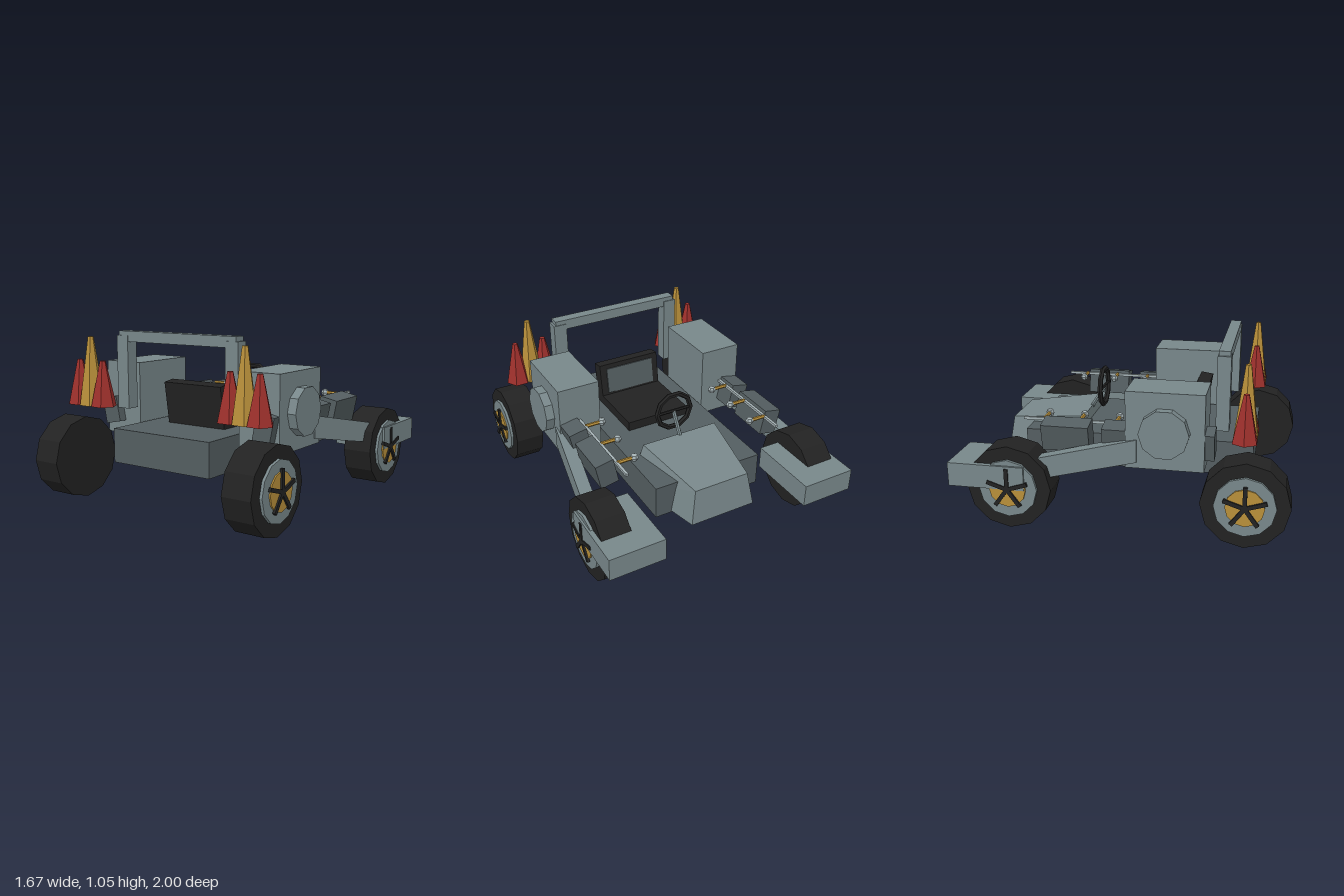
import * as THREE from 'three';

const mat = (name, color) => Object.assign(new THREE.MeshStandardMaterial({ color }), { name });

export function createModel() {
  const grey = mat('grey', 0x78878a), dark = mat('darkGrey', 0x545e61), black = mat('black', 0x222222);
  const gold = mat('gold', 0xb88f3a), red = mat('red', 0x9e302c), silver = mat('silver', 0xa3b0b3);
  const model = new THREE.Group();
  model.name = 'buggy';

  // Faceted mesh
  function add(parent, name, geo, material, x = 0, y = 0, z = 0) {
    const g = geo.index ? geo.toNonIndexed() : geo;
    g.computeVertexNormals();
    const m = new THREE.Mesh(g, material);
    m.name = name;
    m.position.set(x, y, z);
    parent.add(m);
    return m;
  }
  // Box given by its limits
  function box(parent, name, material, x0, x1, y0, y1, z0, z1) {
    return add(parent, name, new THREE.BoxGeometry(x1 - x0, y1 - y0, z1 - z0), material,
      (x0 + x1) / 2, (y0 + y1) / 2, (z0 + z1) / 2);
  }
  // Cylinder lying along x, from x0 to x1
  function axle(parent, name, material, r, sides, x0, x1, y, z) {
    return add(parent, name, new THREE.CylinderGeometry(r, r, x1 - x0, sides).rotateZ(Math.PI / 2),
      material, (x0 + x1) / 2, y, z);
  }
  // Box whose corners are moved by a rule on their signs
  function shaped(rule) {
    const g = new THREE.BoxGeometry(2, 2, 2), p = g.attributes.position;
    for (let i = 0; i < p.count; i++) p.setXYZ(i, ...rule(p.getX(i), p.getY(i), p.getZ(i)));
    return g;
  }

  // Chassis and tapered nose
  box(model, 'chassis', dark, -0.36, 0.36, 0.26, 0.47, -0.665, 0.76);
  add(model, 'hood', shaped((x, y, z) => {
    if (z < 0) return y > 0 ? [x * 0.18, 0.485, -0.81] : [x * 0.215, 0.27, -0.84];
    return y > 0 ? [x * 0.258, 0.54, -0.32] : [x * 0.34, 0.27, -0.305];
  }), grey);

  // Seat with a reclined back and a panel on it
  box(model, 'seatCushion', black, -0.215, 0.215, 0.46, 0.53, -0.045, 0.38);
  const back = new THREE.Group();
  back.name = 'seatBack';
  back.position.set(0, 0.46, 0.37);
  back.rotation.x = 0.15;
  model.add(back);
  box(back, 'backrest', black, -0.215, 0.215, 0, 0.28, -0.04, 0.04);
  box(back, 'backPanel', dark, -0.17, 0.17, 0.08, 0.25, -0.049, -0.04);

  // Steering wheel
  add(model, 'steeringWheel', new THREE.TorusGeometry(0.119, 0.017, 6, 10), black, 0, 0.67, -0.245);
  axle(model, 'steeringSpoke', black, 0.01, 6, -0.115, 0.115, 0.67, -0.245);
  const column = new THREE.LineCurve3(new THREE.Vector3(0, 0.67, -0.24), new THREE.Vector3(0, 0.5, -0.345));
  add(model, 'steeringColumn', new THREE.TubeGeometry(column, 1, 0.014, 6), grey);

  // Roll bar
  box(model, 'rollCrossbar', grey, -0.44, 0.44, 0.985, 1.05, 0.54, 0.61);

  function wheel(parent, name, z) {
    const w = new THREE.Group();
    w.name = name;
    w.position.set(0, 0.258, z);
    parent.add(w);
    axle(w, 'tire', black, 0.256, 12, 0.615, 0.8, 0, 0);
    axle(w, 'rim', grey, 0.177, 12, 0.79, 0.817, 0, 0);
    axle(w, 'hubDisc', gold, 0.112, 12, 0.8, 0.826, 0, 0);
    for (let i = 0; i < 5; i++) {
      const a = i * Math.PI * 2 / 5;
      const s = add(w, 'spoke', new THREE.BoxGeometry(0.016, 0.128, 0.024).translate(0, 0.064, 0), black, 0.829);
      s.rotation.x = a;
    }
  }

  function flame(parent, name, material, x, top) {
    const h = top - 0.59;
    add(parent, name, new THREE.CylinderGeometry(0.018, 0.08, h, 6).rotateY(Math.PI / 2),
      material, x, 0.59 + h / 2, 0.72);
  }

  // One flank; rotated geometry is mirrored by sign s
  function flank(s) {
    const side = new THREE.Group();
    side.name = s > 0 ? 'leftSide' : 'rightSide';
    side.scale.x = s;
    model.add(side);

    wheel(side, 'rearWheel', 0.743);
    wheel(side, 'frontWheel', -0.638);
    box(side, 'frontFender', grey, 0.48, 0.83, 0.255, 0.4, -1, -0.535);
    box(side, 'rollPost', grey, 0.367, 0.455, 0.57, 1.022, 0.535, 0.615);

    // Side pod with round cap
    box(side, 'sidePod', grey, 0.381, 0.655, 0.38, 0.845, 0.033, 0.495);
    axle(side, 'podCap', grey, 0.148, 10, 0.64, 0.71, 0.61, 0.265);

    // Sloping arm to the front wheel
    add(side, 'suspensionArm', shaped((x, y, z) => z > 0
      ? [0.62 + x * 0.043, 0.486 + y * 0.07, 0.1]
      : [0.735 + x * 0.04, 0.345 + y * 0.065, -0.6]), grey);

    // Leaning engine blocks
    for (const [z0, z1] of [[-0.478, -0.19], [-0.11, 0.55]]) {
      const b = add(side, 'engineBlock', new THREE.BoxGeometry(0.118, 0.165, z1 - z0), dark,
        0.58, 0.535, (z0 + z1) / 2);
      b.rotation.z = -0.2;
    }

    // Rail and valves
    box(side, 'rail', silver, 0.513, 0.53, 0.593, 0.61, -0.62, 0.05);
    for (const z of [-0.49, -0.27, -0.05]) {
      axle(side, 'valveStem', gold, 0.012, 6, 0.42, 0.52, 0.605, z);
      add(side, 'valveKnob', new THREE.SphereGeometry(0.026, 6, 4).rotateY(Math.PI / 6), silver, 0.408, 0.605, z);
    }

    // Exhaust flames
    flame(side, 'outerFlame', red, 0.672, 0.87);
    flame(side, 'middleFlame', gold, 0.575, 1.015);
    flame(side, 'innerFlame', red, 0.478, 0.87);
  }
  flank(1);
  flank(-1);
  return model;
}
